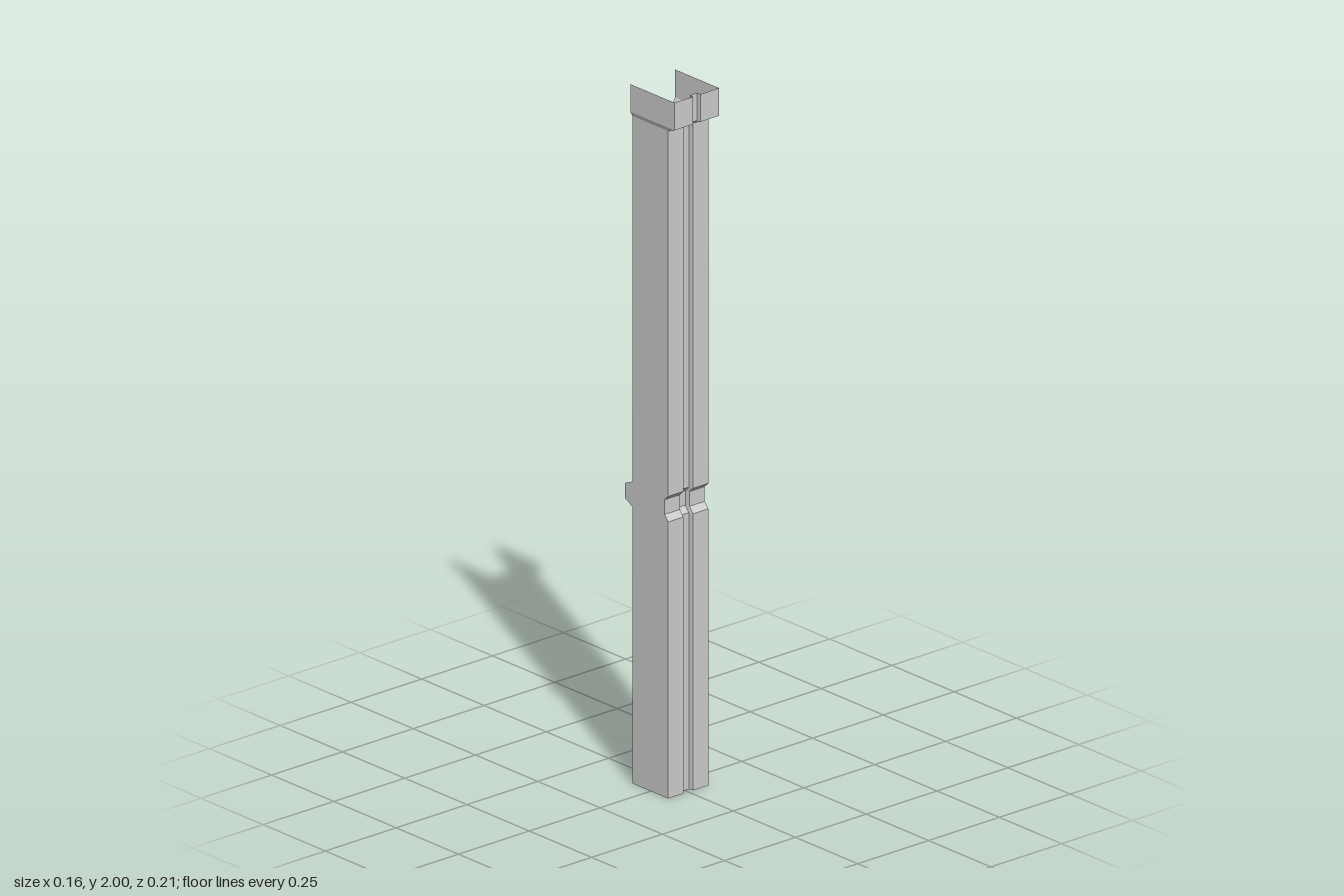
import * as THREE from 'three';

// Height levels: [y, side x, front z, back z, groove lip x, groove floor x, groove floor z]
const FOOT = [0, 0.071, 0.07, -0.073, 0.017, 0.014, 0.056];
const BAND_LOW = [0.79, ...FOOT.slice(1)];
const BAND_IN_LOW = [0.807, 0.071, 0.055, -0.104, 0.017, 0.014, 0.042];
const BAND_IN_HIGH = [0.849, ...BAND_IN_LOW.slice(1)];
const BAND_HIGH = [0.863, ...FOOT.slice(1)];
const NECK = [1.907, ...FOOT.slice(1)];
const CAP_LOW = [1.921, 0.079, 0.104, -0.073, 0.0135, 0.0125, 0.091];
const CAP_TOP = [2, ...CAP_LOW.slice(1)];

// Open U-shaped section with a groove down the middle of its front
function section([y, side, front, back, lip, floor, floorZ]) {
  const half = [[side, back], [side, front], [lip, front], [floor, floorZ]];
  const mirrored = half.map(([x, z]) => [-x, z]).reverse();
  return [...half, ...mirrored].map(([x, z]) => [x, y, z]);
}

// Sheet joining consecutive levels with flat panels
function sheet(name, levels, material) {
  const rings = levels.map(section);
  const positions = [];
  for (let j = 0; j < rings.length - 1; j++) {
    for (let i = 0; i < rings[j].length - 1; i++) {
      const a = rings[j][i], b = rings[j][i + 1];
      const c = rings[j + 1][i + 1], d = rings[j + 1][i];
      positions.push(...a, ...d, ...c, ...a, ...c, ...b);
    }
  }
  const geometry = new THREE.BufferGeometry();
  geometry.setAttribute('position', new THREE.Float32BufferAttribute(positions, 3));
  geometry.computeVertexNormals();
  const mesh = new THREE.Mesh(geometry, material);
  mesh.name = name;
  return mesh;
}

export function createModel() {
  const group = new THREE.Group();
  group.name = 'pilaster';
  const material = new THREE.MeshStandardMaterial({
    color: 0xcccccc, flatShading: true, side: THREE.DoubleSide,
  });
  group.add(
    sheet('lowerShaft', [FOOT, BAND_LOW], material),
    // Recessed band in front, matching tabs on the back edges
    sheet('recessedBand', [BAND_LOW, BAND_IN_LOW, BAND_IN_HIGH, BAND_HIGH], material),
    sheet('upperShaft', [BAND_HIGH, NECK], material),
    // Flared cap
    sheet('cap', [NECK, CAP_LOW, CAP_TOP], material),
  );
  return group;
}
